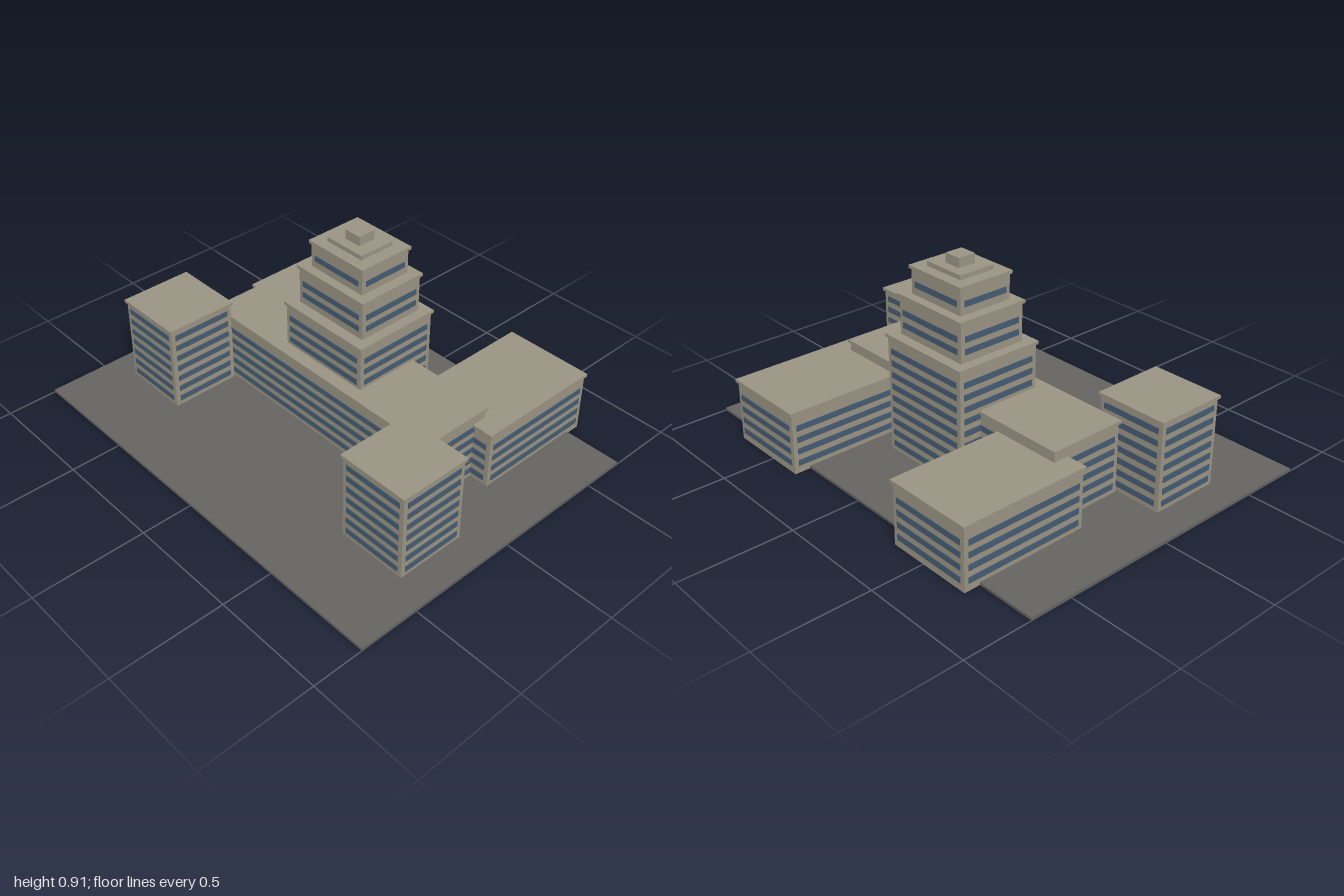
import * as THREE from 'three';

const material = (color) => new THREE.MeshStandardMaterial({ color });
const stone = material(0x9a9484);
const glass = material(0x465c72);
const paving = material(0x666460);

const FLOOR = 0.0535;     // storey height
const SILL = 0.033;       // first window band above the block's base
const BAND = 0.026;       // window band height
const MARGIN = 0.02;      // plain wall at each corner
const PROUD = 0.003;      // how far glass stands out of the wall
const OVERHANG = 0.008;   // roof slab beyond the walls
const SLAB = 0.014;       // roof slab thickness

function box(name, mat, w, h, d, x, y, z) {
  const mesh = new THREE.Mesh(new THREE.BoxGeometry(w, h, d), mat);
  mesh.name = name;
  mesh.position.set(x, y + h / 2, z);   // y is the underside
  return mesh;
}

// Block with walls, an overhanging roof slab and window bands on all four sides
function block(name, { x = 0, z, w, d, base = 0, top, rows }) {
  const group = new THREE.Group();
  group.name = name;
  group.add(box('walls', stone, w, top - SLAB - base, d, x, base, z));
  group.add(box('roofSlab', stone, w + 2 * OVERHANG, SLAB, d + 2 * OVERHANG, x, top - SLAB, z));
  for (let i = 0; i < rows; i++) {
    const y = base + SILL + i * FLOOR;
    for (const s of [-1, 1]) {
      group.add(box('windowBand', glass, w - 2 * MARGIN, BAND, 2 * PROUD, x, y, z + s * d / 2));
      group.add(box('windowBand', glass, 2 * PROUD, BAND, d - 2 * MARGIN, x + s * w / 2, y, z));
    }
  }
  return group;
}

export function createModel() {
  const model = new THREE.Group();
  model.name = 'officeComplex';

  // Paved site
  model.add(box('sitePlate', paving, 2, 0.012, 1.466, 0, 0, 0.04));

  // Long main building
  model.add(block('mainBuilding', { z: -0.069, w: 1.284, d: 0.348, top: 0.337, rows: 5 }));

  // Mirrored front towers and rear wings
  for (const [side, s] of [['left', 1], ['right', -1]]) {
    model.add(block(side + 'FrontTower', { x: s * 0.695, z: 0.275, w: 0.32, d: 0.32, top: 0.416, rows: 7 }));
    model.add(block(side + 'RearWing', { x: s * 0.532, z: -0.472, w: 0.4, d: 0.586, top: 0.285, rows: 4 }));
  }

  // Stepped central tower
  const z = -0.147;
  model.add(block('towerLowerTier', { z, w: 0.45, d: 0.4, top: 0.547, rows: 9 }));
  model.add(block('towerMiddleTier', { z: z - 0.002, w: 0.376, d: 0.32, base: 0.547, top: 0.727, rows: 2 }));
  model.add(block('towerUpperTier', { z: z - 0.002, w: 0.298, d: 0.254, base: 0.727, top: 0.85, rows: 1 }));
  model.add(box('towerCap', stone, 0.2, 0.02, 0.172, 0, 0.85, z - 0.002));
  model.add(box('towerLantern', stone, 0.08, 0.042, 0.082, 0, 0.87, z - 0.002));

  return model;
}
